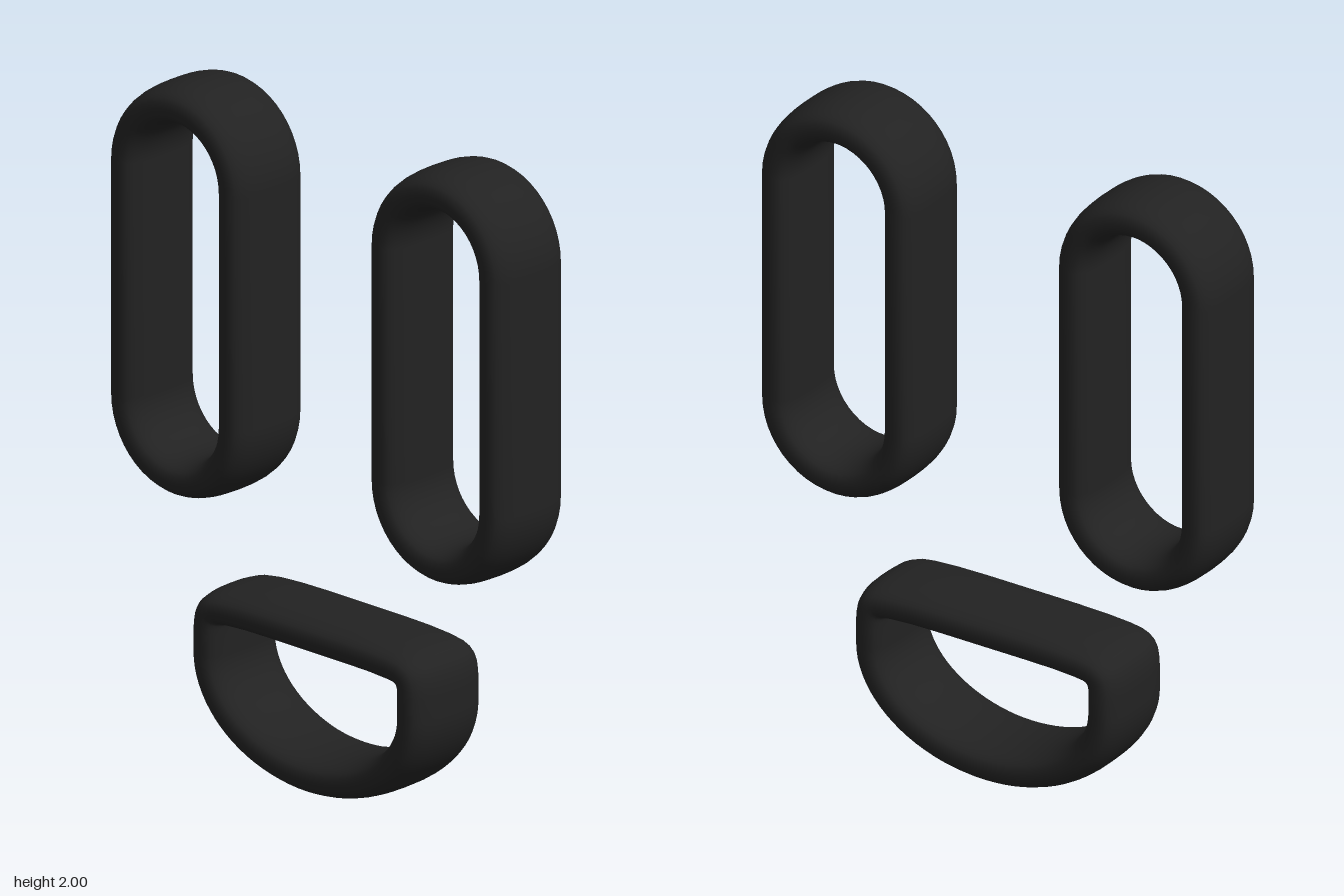
import * as THREE from 'three';

const HALF_DEPTH = 0.145;
const SECTION_SIDES = 28;
const ROUNDNESS = 2 / 2.7; // squarish, softly rounded section

// Closed band swept between matching outer and inner outlines (clockwise from the front)
function bandGeometry(outer, inner) {
  const positions = [], index = [];
  const rings = outer.length, sides = SECTION_SIDES;
  const power = (v) => Math.sign(v) * Math.abs(v) ** ROUNDNESS;
  outer.forEach((o, i) => {
    for (let j = 0; j < sides; j++) {
      const a = (j / sides) * Math.PI * 2;
      const p = inner[i].clone().lerp(o, 0.5 + 0.5 * power(Math.cos(a)));
      positions.push(p.x, p.y, HALF_DEPTH * power(Math.sin(a)));
      const i2 = (i + 1) % rings, j2 = (j + 1) % sides;
      const A = i * sides + j, B = i * sides + j2, C = i2 * sides + j2, D = i2 * sides + j;
      index.push(A, B, D, B, C, D);
    }
  });
  const geometry = new THREE.BufferGeometry();
  geometry.setAttribute('position', new THREE.Float32BufferAttribute(positions, 3));
  geometry.setIndex(index);
  geometry.computeVertexNormals();
  return geometry;
}

// Upright stadium outline: two half circles joined by straight sides
function stadium(radius, halfStraight) {
  const points = [];
  for (const side of [1, -1]) {
    for (let k = 0; k <= 24; k++) {
      const t = (k / 24 - 0.5) * Math.PI + (side < 0 ? Math.PI : 0);
      points.push(new THREE.Vector2(radius * Math.sin(t), radius * Math.cos(t) + side * halfStraight));
    }
  }
  return points;
}

// Right half of a mouth outline (top edge, corner, then elliptical bowl), mirrored to close it
function mouthOutline(top, rx, ry) {
  const half = top.map(([x, y]) => new THREE.Vector2(x, y));
  for (let k = 0; k <= 20; k++) {
    const t = (k / 20) * Math.PI / 2;
    half.push(new THREE.Vector2(rx * Math.cos(t), 0.335 - ry * Math.sin(t)));
  }
  const mirrored = half.slice(1, -1).reverse().map((p) => new THREE.Vector2(-p.x, p.y));
  return [...half, ...mirrored];
}

export function createModel() {
  const group = new THREE.Group();
  const black = new THREE.MeshStandardMaterial({ color: 0x222222 });
  black.name = 'black';

  // Eyes
  const eyeGeometry = bandGeometry(stadium(0.266, 0.352), stadium(0.149, 0.352));
  for (const [name, x] of [['leftEye', 0.502], ['rightEye', -0.502]]) {
    const eye = new THREE.Mesh(eyeGeometry, black);
    eye.name = name;
    eye.position.set(x, 1.382, 0);
    group.add(eye);
  }

  // Smiling mouth: rounded outer corners, sharp inner corners
  const outer = mouthOutline([
    [0, 0.535], [0.15, 0.535], [0.25, 0.533], [0.33, 0.528], [0.375, 0.521],
    [0.405, 0.509], [0.428, 0.49], [0.442, 0.463], [0.448, 0.43], [0.45, 0.4],
  ], 0.45, 0.333);
  const inner = mouthOutline([
    [0, 0.427], [0.15, 0.427], [0.24, 0.426], [0.31, 0.422], [0.331, 0.42],
    [0.335, 0.419], [0.335, 0.418], [0.335, 0.417], [0.335, 0.412], [0.335, 0.395],
  ], 0.335, 0.218);
  const mouth = new THREE.Mesh(bandGeometry(outer, inner), black);
  mouth.name = 'mouth';
  group.add(mouth);

  return group;
}
